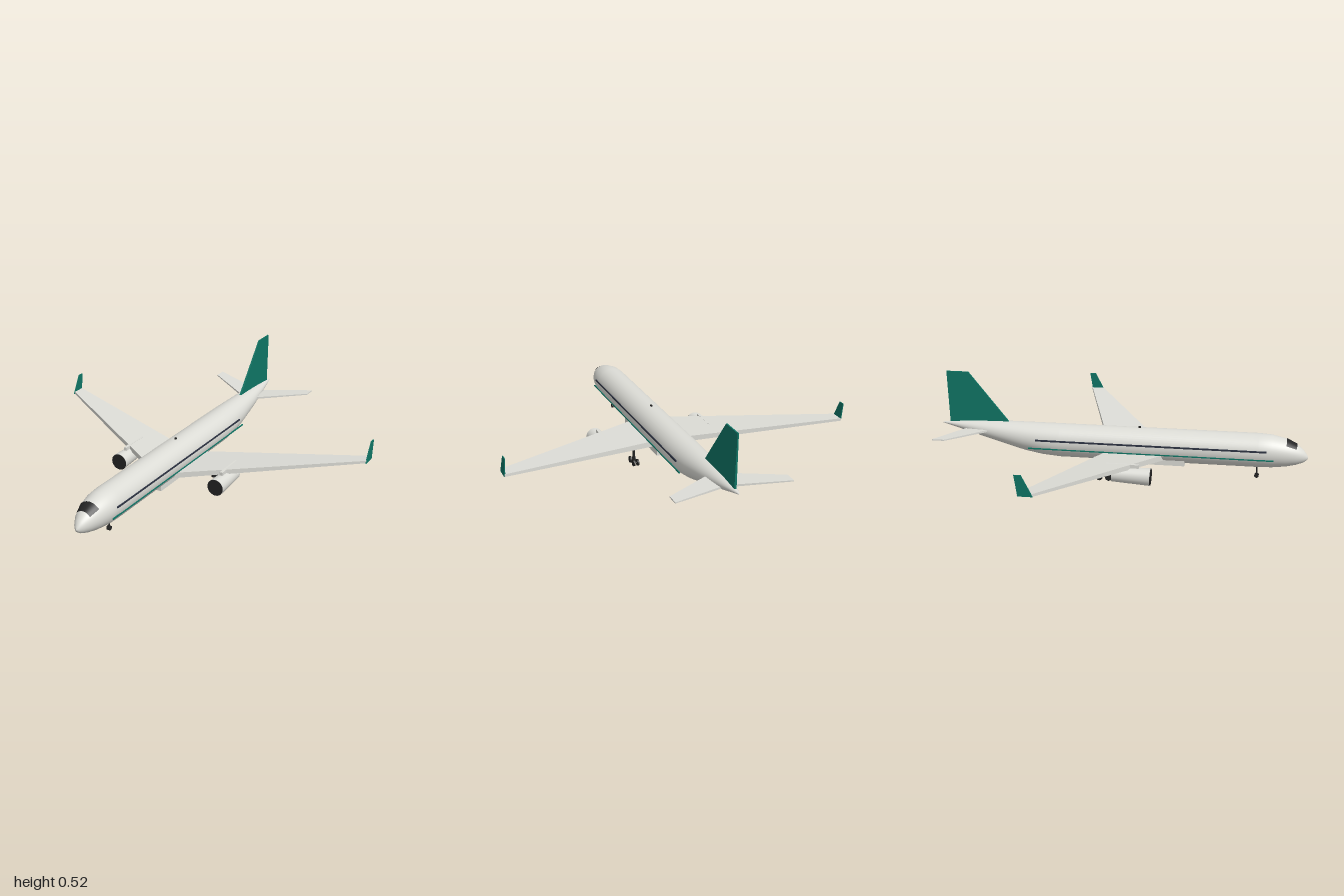
import * as THREE from 'three';

const material = (name, color, side = THREE.FrontSide) => {
  const m = new THREE.MeshStandardMaterial({ color, side });
  m.name = name;
  return m;
};

// Fuselage stations: z, top, bottom, half width
const STATIONS = [
  [-1, 0.226, 0.221, 0.003], [-0.95, 0.233, 0.208, 0.016], [-0.85, 0.241, 0.18, 0.037],
  [-0.7, 0.246, 0.137, 0.06], [-0.53, 0.246, 0.09, 0.079], [-0.43, 0.246, 0.072, 0.087],
  [-0.33, 0.246, 0.064, 0.09], [0.74, 0.246, 0.064, 0.09], [0.81, 0.241, 0.066, 0.086],
  [0.885, 0.223, 0.074, 0.07], [0.94, 0.196, 0.086, 0.05], [0.975, 0.167, 0.099, 0.029],
  [0.993, 0.142, 0.112, 0.013], [1, 0.126, 0.126, 0],
];

function sectionAt(z) {
  let i = 0;
  while (i < STATIONS.length - 2 && z > STATIONS[i + 1][0]) i++;
  const a = STATIONS[i], b = STATIONS[i + 1], t = (z - a[0]) / (b[0] - a[0]);
  return a.map((v, k) => v + (b[k] - v) * t);
}

// Skin wrapped over the fuselage sections between two angles
function skin(zs, a0, a1, segments, lift = 0) {
  const rows = zs.length - 1;
  const g = new THREE.PlaneGeometry(1, 1, segments, rows), p = g.attributes.position;
  for (let i = 0; i < p.count; i++) {
    const a = a0 + (a1 - a0) * (p.getX(i) + 0.5);
    const [z, top, bottom, w] = sectionAt(zs[Math.round((p.getY(i) + 0.5) * rows)]);
    p.setXYZ(i, Math.cos(a) * (w + lift),
      (top + bottom) / 2 + Math.sin(a) * ((top - bottom) / 2 + lift), z);
  }
  g.computeVertexNormals();
  return g;
}

// Tapered panel; ends are [span, height, leading z, trailing z, thickness]
function panel(root, tip, side = 1) {
  const g = new THREE.BoxGeometry(1, 1, 1), p = g.attributes.position;
  for (let i = 0; i < p.count; i++) {
    const t = side * p.getX(i) + 0.5;
    const [x, y, lead, trail, thick] = root.map((v, k) => v + (tip[k] - v) * t);
    p.setXYZ(i, side * x, y + p.getY(i) * thick, p.getZ(i) > 0 ? lead : trail);
  }
  g.computeVertexNormals();
  return g;
}

export function createModel() {
  const model = new THREE.Group();
  model.name = 'airliner';
  const white = material('body white', 0xdcdcd6);
  const teal = material('teal trim', 0x0f7565);
  const slate = material('window slate', 0x2e3444);
  const dark = material('dark parts', 0x242424);

  const add = (name, geometry, mat, x = 0, y = 0, z = 0, parent = model) => {
    const mesh = new THREE.Mesh(geometry, mat);
    mesh.name = name;
    mesh.position.set(x, y, z);
    parent.add(mesh);
    return mesh;
  };
  const box = (w, h, d) => new THREE.BoxGeometry(w, h, d);
  const wheel = (r, w) => new THREE.CylinderGeometry(r, r, w, 20).rotateZ(Math.PI / 2);

  // Fuselage, windshield, belly and roof antenna
  add('fuselage', skin(STATIONS.map((s) => s[0]), -Math.PI / 2, Math.PI * 1.5, 48), white);
  add('windshield', skin([0.885, 0.912, 0.94], 0.73, Math.PI - 0.73, 16, 0.003), dark);
  add('bellyFairing', box(0.128, 0.03, 0.49), white, 0, 0.077, 0.105);
  add('antenna', box(0.01, 0.012, 0.012), dark, 0, 0.248, 0.1);

  // Tail fin
  add('tailFin', panel([0.215, 0, -0.601, -0.956, 0.012], [0.517, 0, -0.846, -0.968, 0.007])
    .rotateZ(Math.PI / 2), teal);

  for (const s of [1, -1]) {
    const half = new THREE.Group();
    half.name = s > 0 ? 'leftSide' : 'rightSide';
    model.add(half);
    const put = (name, geometry, mat, x, y, z) => add(name, geometry, mat, s * x, y, z, half);

    // Wing with upright tip, and tailplane
    put('wing', panel([0, 0.098, 0.274, -0.058, 0.032], [0.937, 0.191, -0.267, -0.338, 0.014], s), white, 0, 0, 0);
    put('winglet', panel([0.184, 0, -0.262, -0.334, 0.007], [0.288, 0, -0.316, -0.351, 0.005])
      .rotateZ(Math.PI / 2), teal, 0.937, 0, 0);
    put('tailplane', panel([0, 0.196, -0.7, -0.85, 0.012], [0.305, 0.22, -0.897, -0.963, 0.006], s), white, 0, 0, 0);

    // Window band and trim line along the cabin
    put('windowBand', box(0.005, 0.009, 1.24), slate, 0.0885, 0.172, 0.162);
    put('trimLine', box(0.006, 0.006, 1.32), teal, 0.0865, 0.125, 0.16);

    // Engine, intake and pylon
    const engine = new THREE.CylinderGeometry(0.046, 0.038, 0.2, 28).rotateX(Math.PI / 2);
    put('engine', engine, white, 0.3, 0.081, 0.1).rotation.x = 0.025;
    const intake = new THREE.CylinderGeometry(0.045, 0.045, 0.004, 28).rotateX(Math.PI / 2);
    put('intake', intake, dark, 0.3, 0.0785, 0.2).rotation.x = 0.025;
    put('pylon', box(0.016, 0.03, 0.17), white, 0.3, 0.126, 0.055);

    // Main landing gear with a four-wheel bogie
    put('mainStrut', new THREE.CylinderGeometry(0.006, 0.006, 0.09, 12), dark, 0.167, 0.063, -0.065);
    put('bogieBeam', box(0.008, 0.008, 0.052), dark, 0.167, 0.02, -0.065);
    for (const z of [-0.04, -0.09]) {
      put('axle', wheel(0.004, 0.028), dark, 0.167, 0.018, z);
      for (const dx of [-0.011, 0.011]) put('mainWheel', wheel(0.018, 0.009), dark, 0.167 + dx, 0.018, z);
    }

    put('noseWheel', wheel(0.012, 0.006), dark, 0.006, 0.012, 0.733);
  }

  // Nose gear
  add('noseStrut', new THREE.CylinderGeometry(0.004, 0.004, 0.06, 12), dark, 0, 0.042, 0.733);
  add('noseAxle', wheel(0.003, 0.012), dark, 0, 0.012, 0.733);
  return model;
}
